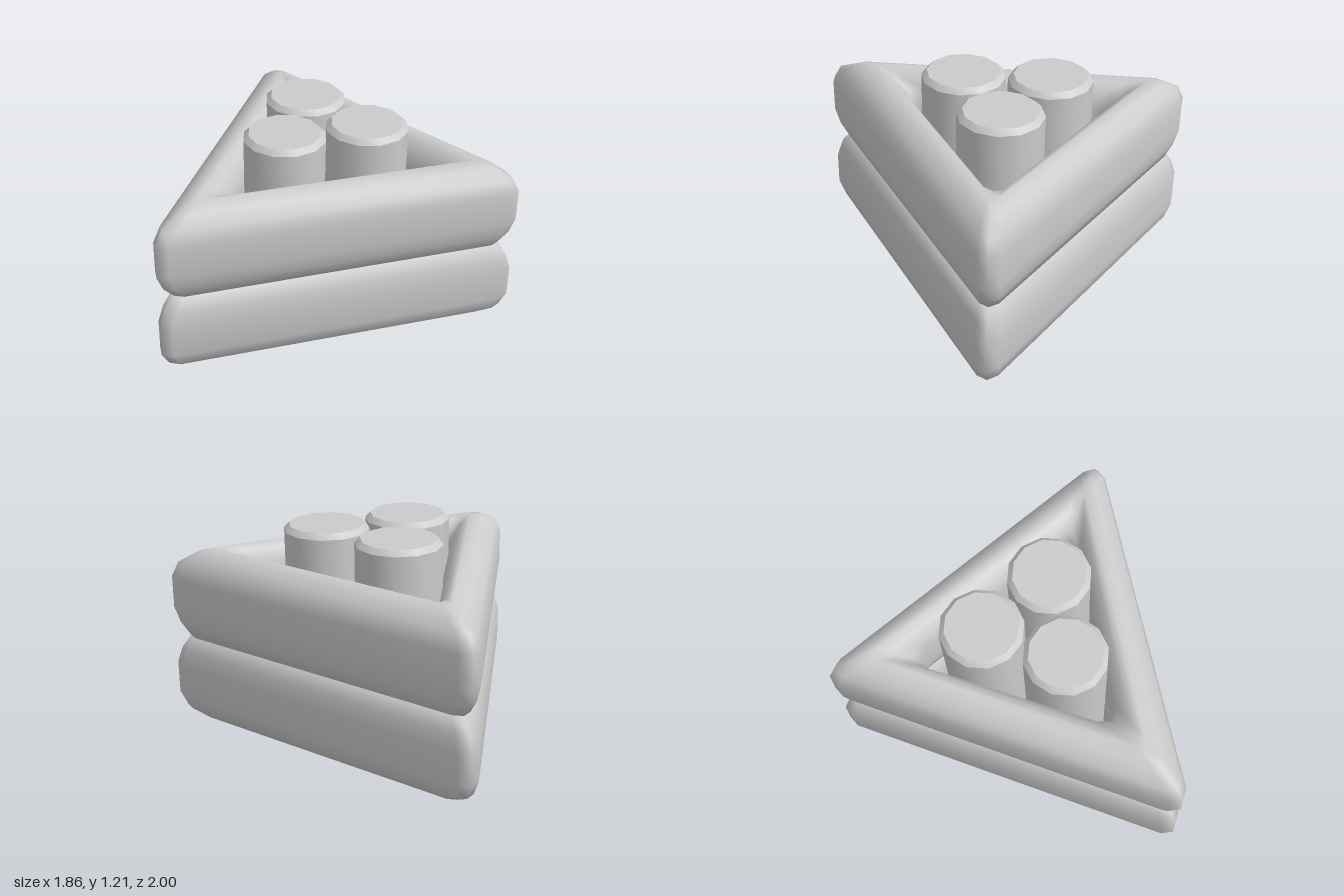
import * as THREE from 'three';
import { toCreasedNormals } from 'three/addons/utils/BufferGeometryUtils.js';

const material = new THREE.MeshStandardMaterial({ color: 0xcccccc });

// Triangular outlines in plan: half of each [x, z], mirrored across z = 0
const mirrorLoop = (half) => [
  ...half,
  ...half.slice(1).reverse().map(([x, z]) => [x, -z]),
];
const outer = mirrorLoop([[-0.93, 0], [-0.89, -0.06], [0.83, -1], [0.9, -1], [0.93, -0.93]]);
const ridge = mirrorLoop([[-0.6, 0], [-0.58, -0.03], [0.74, -0.77], [0.77, -0.77], [0.785, -0.74]]);
const inner = mirrorLoop([[-0.33, 0], [-0.27, -0.07], [0.55, -0.56], [0.63, -0.56], [0.67, -0.49]]);

// Tube cross-section: [spread from ridge to side, height]
const side = [[0, 0], [0.43, 0.03], [0.84, 0.09], [1, 0.175], [1, 0.36], [0.88, 0.45], [0.67, 0.5275], [0, 0.555]];
const section = [
  ...side.map(([f, y]) => ({ f, y, rim: outer })),
  ...side.slice(1, -1).reverse().map(([f, y]) => ({ f, y, rim: inner })),
];

// Closed triangular tube swept through the three outlines
function tubeGeometry(profile) {
  const positions = [], index = [];
  const n = ridge.length, m = profile.length;
  for (let i = 0; i < n; i++) {
    for (const { f, y, rim } of profile) {
      const [rx, rz] = ridge[i], [ex, ez] = rim[i];
      positions.push(rx + (ex - rx) * f, y, rz + (ez - rz) * f);
    }
  }
  for (let i = 0; i < n; i++) {
    for (let j = 0; j < m; j++) {
      const i2 = (i + 1) % n, j2 = (j + 1) % m;
      const a = i * m + j, b = i * m + j2, c = i2 * m + j2, d = i2 * m + j;
      index.push(a, b, c, a, c, d);
    }
  }
  const g = new THREE.BufferGeometry();
  g.setAttribute('position', new THREE.Float32BufferAttribute(positions, 3));
  g.setIndex(index);
  g.computeVertexNormals();
  return g;
}

export function createModel() {
  const group = new THREE.Group();
  const add = (name, geometry, x = 0, z = 0) => {
    const mesh = new THREE.Mesh(geometry, material);
    mesh.name = name;
    mesh.position.set(x, 0, z);
    group.add(mesh);
  };

  // Two stacked tubes, the upper one mirrored about the seam
  add('lowerTriangleTube', tubeGeometry(section));
  const flipped = section.map((p) => ({ ...p, y: 1.055 - p.y })).reverse();
  add('upperTriangleTube', tubeGeometry(flipped));

  // Three twelve-sided pillars with a bevelled top
  const profile = [[0, 0.02], [0.236, 0.02], [0.236, 1.18], [0.206, 1.21], [0, 1.21]]
    .map(([r, y]) => new THREE.Vector2(r, y));
  const pillar = toCreasedNormals(new THREE.LatheGeometry(profile, 12), 0.6);
  add('apexPillar', pillar, 0.033, 0);
  add('frontPillar', pillar, 0.45, 0.242);
  add('backPillar', pillar, 0.45, -0.242);

  return group;
}
